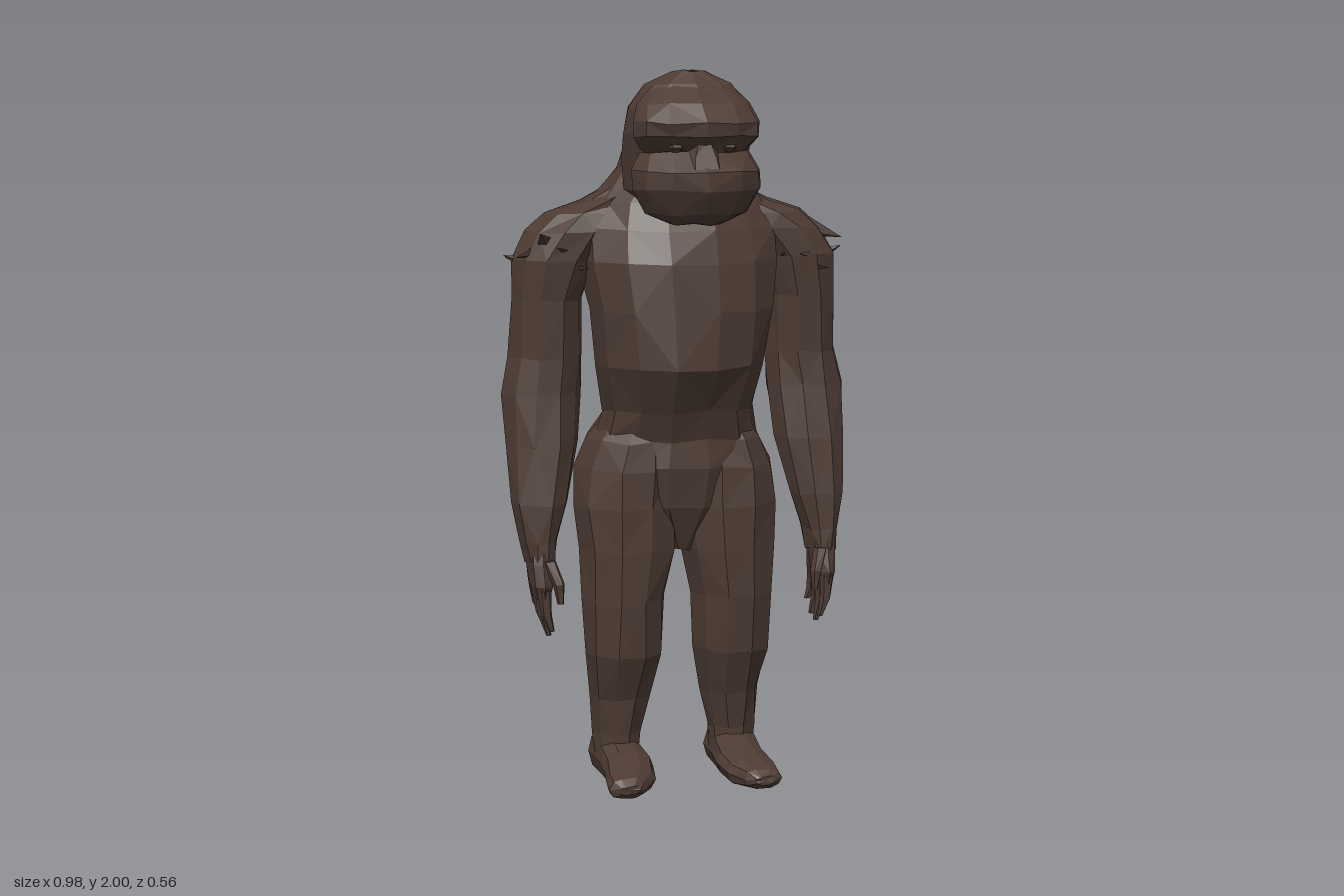
import * as THREE from 'three';

const fur = new THREE.MeshStandardMaterial({ color: 0x4d3b33 });
fur.name = 'brown fur';
const gold = new THREE.MeshStandardMaterial({ color: 0x9a6a20 });
gold.name = 'gold fleck';

let seed = 7;
const rand = () => (seed = (seed * 16807) % 2147483647) / 2147483647;

// Closed loft. Each section is [t, u0, u1, v0, v1]: along y the ring spans x and z,
// along z it spans x and y. Corners are squared by the power, facets roughened by jitter.
function loft(sections, { axis = 'y', sides = 12, power = 0.8, jitter = 0.005, flip = false } = {}) {
  const pts = [], idx = [];
  const put = (t, u, v) => {
    const x = flip ? -u : u;
    pts.push(...(axis === 'y' ? [x, t, v] : [x, v, t]));
  };
  const bend = (c) => Math.sign(c) * Math.pow(Math.abs(c), power);
  for (const [t, u0, u1, v0, v1] of sections) {
    for (let i = 0; i < sides; i++) {
      const a = (i / sides) * Math.PI * 2;
      const j = () => (rand() - 0.5) * jitter * 2;
      put(t + j(), (u0 + u1) / 2 + bend(Math.cos(a)) * (u1 - u0) / 2 + j(),
        (v0 + v1) / 2 + bend(Math.sin(a)) * (v1 - v0) / 2 + j());
    }
  }
  const n = sections.length;
  for (const s of [sections[0], sections[n - 1]]) put(s[0], (s[1] + s[2]) / 2, (s[3] + s[4]) / 2);
  for (let r = 0; r < n - 1; r++) for (let i = 0; i < sides; i++) {
    const a = r * sides + i, b = r * sides + (i + 1) % sides;
    if ((r + i) % 2) idx.push(a, b, b + sides, a, b + sides, a + sides);
    else idx.push(a, b, a + sides, b, b + sides, a + sides);
  }
  for (let i = 0; i < sides; i++) {
    const k = (i + 1) % sides, top = (n - 1) * sides;
    idx.push(n * sides, k, i, n * sides + 1, top + i, top + k);
  }
  // Turn the faces outward whatever the direction or mirroring
  let volume = 0;
  const p = (i) => new THREE.Vector3().fromArray(pts, i * 3);
  for (let i = 0; i < idx.length; i += 3) volume += p(idx[i]).dot(p(idx[i + 1]).cross(p(idx[i + 2])));
  if (volume < 0) idx.reverse();
  const g = new THREE.BufferGeometry();
  g.setAttribute('position', new THREE.Float32BufferAttribute(pts, 3));
  g.setIndex(idx);
  return flat(g);
}

function flat(g) {
  const f = g.index ? g.toNonIndexed() : g;
  f.computeVertexNormals();
  return f;
}

export function createModel() {
  seed = 7;
  const model = new THREE.Group();
  model.name = 'ape';
  const add = (name, geometry, material = fur, parent = model) => {
    const m = new THREE.Mesh(geometry, material);
    m.name = name;
    parent.add(m);
    return m;
  };
  const sym = (rows) => rows.map(([t, w, a, b]) => [t, -w, w, a, b]);

  // Torso from the crotch to the raised neck hump
  add('torso', loft(sym([
    [0.67, 0.03, -0.1, 0.0], [0.8, 0.19, -0.17, 0.055], [0.91, 0.27, -0.225, 0.075],
    [0.99, 0.235, -0.235, 0.08], [1.07, 0.212, -0.222, 0.108], [1.2, 0.245, -0.238, 0.178],
    [1.35, 0.262, -0.222, 0.174], [1.48, 0.28, -0.255, 0.16], [1.57, 0.28, -0.27, 0.13],
    [1.65, 0.24, -0.278, 0.09], [1.735, 0.17, -0.25, 0.08], [1.83, 0.145, -0.13, 0.07],
    [1.9, 0.1, -0.07, 0.06],
  ]), { sides: 14, power: 0.97, jitter: 0.007 }));

  // Head: skull, brow, muzzle, nose
  add('skull', loft(sym([
    [1.62, 0.12, -0.12, 0.16], [1.68, 0.165, -0.16, 0.19], [1.76, 0.172, -0.17, 0.213],
    [1.83, 0.172, -0.128, 0.222], [1.9, 0.163, -0.085, 0.205], [1.96, 0.12, -0.04, 0.15],
    [1.998, 0.045, 0.03, 0.11],
  ]), { power: 0.85, jitter: 0.004 }));
  add('brow', loft(sym([
    [1.785, 0.14, 0.05, 0.22], [1.825, 0.172, 0.05, 0.257], [1.862, 0.175, 0.04, 0.264],
    [1.91, 0.158, 0.03, 0.218], [1.955, 0.11, 0.03, 0.158],
  ]), { power: 0.87, jitter: 0.004 }));
  add('muzzle', loft(sym([
    [1.59, 0.07, 0.08, 0.19], [1.62, 0.14, 0.05, 0.245], [1.685, 0.178, 0.03, 0.278],
    [1.735, 0.178, 0.03, 0.282], [1.785, 0.15, 0.03, 0.222],
  ]), { power: 0.92, jitter: 0.004 }));
  add('nose', loft(sym([
    [1.74, 0.055, 0.2, 0.274], [1.77, 0.05, 0.18, 0.25], [1.82, 0.025, 0.18, 0.235],
  ]), { sides: 6, jitter: 0.002 }));

  for (const s of [1, -1]) {
    const side = s > 0 ? 'left' : 'right';
    const flip = s < 0;
    const limb = new THREE.Group();
    limb.name = side + 'Side';
    model.add(limb);
    const part = (name, rows, opts = {}) => add(side + name, loft(rows, { flip, ...opts }), fur, limb);

    // Eye
    part('Eye', [[1.785, 0.06, 0.085, 0.19, 0.222], [1.797, 0.05, 0.095, 0.19, 0.235],
      [1.81, 0.06, 0.085, 0.19, 0.222]], { sides: 6, jitter: 0 });

    // Arm, its top sloping up to the neck
    part('Arm', [
      [0.66, 0.365, 0.445, -0.07, 0.06], [0.72, 0.355, 0.455, -0.085, 0.06],
      [0.82, 0.325, 0.475, -0.12, 0.06], [0.98, 0.285, 0.488, -0.168, 0.035],
      [1.12, 0.272, 0.488, -0.19, 0.015], [1.22, 0.267, 0.468, -0.19, 0.01],
      [1.38, 0.265, 0.462, -0.187, 0.02], [1.49, 0.23, 0.458, -0.205, 0.035],
      [1.565, 0.16, 0.42, -0.215, 0.035], [1.61, 0.1, 0.365, -0.22, 0.02],
      [1.645, 0.08, 0.265, -0.23, 0.01], [1.69, 0.06, 0.185, -0.21, 0.02],
    ], { sides: 10, power: 0.95 });

    // Hand with four fingers and a thumb
    part('Palm', [
      [0.56, 0.385, 0.425, -0.085, 0.075], [0.6, 0.375, 0.435, -0.085, 0.085],
      [0.66, 0.37, 0.443, -0.07, 0.065], [0.7, 0.37, 0.44, -0.06, 0.05],
    ], { sides: 8, jitter: 0.002 });
    for (let i = 0; i < 4; i++) {
      const z = -0.062 + i * 0.041, tip = [0.5, 0.465, 0.455, 0.475][i];
      part('Finger', [
        [tip, 0.378, 0.393, z - 0.009, z + 0.009], [(tip + 0.57) / 2, 0.385, 0.415, z - 0.017, z + 0.017],
        [0.59, 0.385, 0.425, z - 0.018, z + 0.018],
      ], { sides: 6, jitter: 0.001 });
    }
    part('Thumb', [
      [0.555, 0.355, 0.372, 0.07, 0.09], [0.61, 0.352, 0.385, 0.055, 0.095],
      [0.67, 0.37, 0.41, 0.025, 0.07],
    ], { sides: 6, jitter: 0.001 });

    // Leg with a rounded buttock, its top closing in to the waist
    part('Leg', [
      [0.06, 0.105, 0.235, -0.175, -0.02], [0.14, 0.1, 0.237, -0.165, -0.02],
      [0.25, 0.075, 0.245, -0.17, 0], [0.38, 0.045, 0.265, -0.175, 0.055],
      [0.54, 0.04, 0.275, -0.172, 0.073], [0.68, 0.008, 0.284, -0.2, 0.08],
      [0.8, -0.002, 0.294, -0.245, 0.08], [0.91, -0.004, 0.288, -0.28, 0.073],
      [0.985, 0.01, 0.25, -0.26, 0.06], [1.06, 0.03, 0.19, -0.215, 0.03],
    ], { sides: 10, power: 1 });

    // Foot, loft from heel to toe, turned slightly outward
    part('Foot', [
      [-0.2, 0.13, 0.2, 0.025, 0.09], [-0.16, 0.105, 0.235, 0.004, 0.125],
      [-0.05, 0.1, 0.235, 0.008, 0.13], [0.03, 0.092, 0.232, 0.012, 0.108],
      [0.11, 0.105, 0.245, 0.01, 0.085], [0.16, 0.14, 0.245, 0.015, 0.072],
      [0.18, 0.165, 0.22, 0.03, 0.055],
    ], { axis: 'z', sides: 10, power: 0.8, jitter: 0.003 });

    // Flat fur tufts scattered around the shoulder
    for (let i = 0; i < 11; i++) {
      const a = (i / 11) * Math.PI * 2;
      const dir = new THREE.Vector3(s * Math.cos(a), -0.4 + rand() * 1.3, Math.sin(a)).normalize();
      const g = new THREE.ConeGeometry(0.04, 0.09 + rand() * 0.03, 3);
      g.scale(1, 1, 0.4);
      g.applyQuaternion(new THREE.Quaternion().setFromUnitVectors(new THREE.Vector3(0, 1, 0), dir));
      g.translate(s * (0.355 + Math.cos(a) * 0.075), 1.45 + rand() * 0.1, -0.08 + Math.sin(a) * 0.1);
      add(side + 'ShoulderTuft', flat(g), fur, limb);
    }
  }

  // Small gold flecks on the head and shoulder
  for (const [x, y, z, pitch, yaw] of [
    [0.08, 1.952, -0.05, -0.5, 0.6], [-0.11, 1.9, -0.09, -0.7, 1.1], [0.262, 1.635, -0.18, 1.3, -0.8],
  ]) {
    const g = new THREE.OctahedronGeometry(0.02);
    g.scale(0.75, 0.2, 1.1);
    const fleck = add('fleck', flat(g), gold);
    fleck.position.set(x, y, z);
    fleck.rotation.set(pitch, yaw, 0);
  }
  return model;
}
